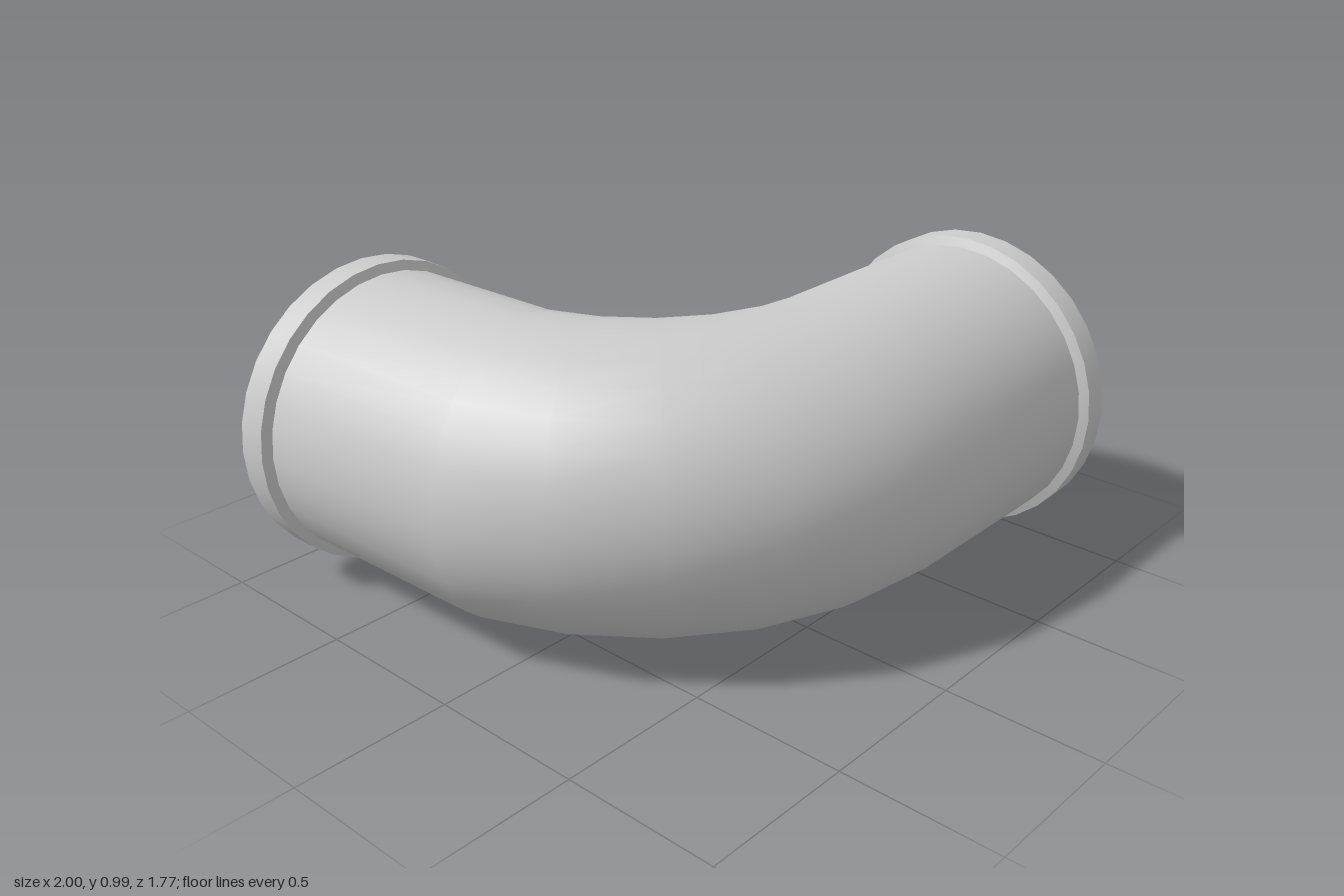
import * as THREE from 'three';

const SIDES = 32;
const AXIS_Y = 0.496;
const PIPE_R = 0.465;
const RIM_R = 0.494;

// One ring of the pipe: centre on the ground plan, turn in degrees, radius
const ring = (x, z, turn, r) => ({ x, z, turn: THREE.MathUtils.degToRad(turn), r });

// Smooth open skin through a row of rings
function skin(name, rings, material) {
  const pos = [], index = [];
  for (const { x, z, turn, r } of rings) {
    for (let j = 0; j < SIDES; j++) {
      const t = (j / SIDES) * Math.PI * 2;
      const out = r * Math.cos(t);
      pos.push(x - Math.sin(turn) * out, AXIS_Y + r * Math.sin(t), z + Math.cos(turn) * out);
    }
  }
  for (let i = 0; i < rings.length - 1; i++) {
    for (let j = 0; j < SIDES; j++) {
      const k = (j + 1) % SIDES;
      const a = i * SIDES + j, b = i * SIDES + k;
      const c = a + SIDES, d = b + SIDES;
      index.push(a, b, c, b, d, c);
    }
  }
  const geometry = new THREE.BufferGeometry();
  geometry.setAttribute('position', new THREE.Float32BufferAttribute(pos, 3));
  geometry.setIndex(index);
  geometry.computeVertexNormals();
  const mesh = new THREE.Mesh(geometry, material);
  mesh.name = name;
  return mesh;
}

export function createModel() {
  const group = new THREE.Group();
  group.name = 'pipeElbow';
  const material = new THREE.MeshStandardMaterial({ color: 0xcccccc, side: THREE.DoubleSide });

  // Side socket: lip, shoulder and pipe mouth
  const sideEnd = ring(1, 0.39, 0, RIM_R);
  const sideLip = ring(0.917, 0.39, 0, RIM_R);
  const sideMouth = ring(0.905, 0.39, 0, PIPE_R);

  // Back socket, slightly tilted against its flat end
  const backMouth = ring(-0.505, -0.796, 88.4, 0.461);
  const backLip = ring(-0.507, -0.806, 88.4, RIM_R - 0.002);
  const backEnd = ring(-0.507, -0.89, 90, RIM_R - 0.001);

  // Bend in 15 degree steps about a centre beside the inner corner
  const bend = [];
  const cx = 0.29, cz = -0.415, bendR = 0.805;
  for (let turn = 0; turn <= 75; turn += 15) {
    const a = THREE.MathUtils.degToRad(turn);
    bend.push(ring(cx - bendR * Math.sin(a), cz + bendR * Math.cos(a), turn, PIPE_R));
  }

  group.add(
    skin('elbowPipe', [sideMouth, ...bend, backMouth], material),
    skin('sideSocketRim', [sideEnd, sideLip], material),
    skin('sideSocketShoulder', [sideLip, sideMouth], material),
    skin('backSocketShoulder', [backMouth, backLip], material),
    skin('backSocketRim', [backLip, backEnd], material),
  );
  return group;
}
